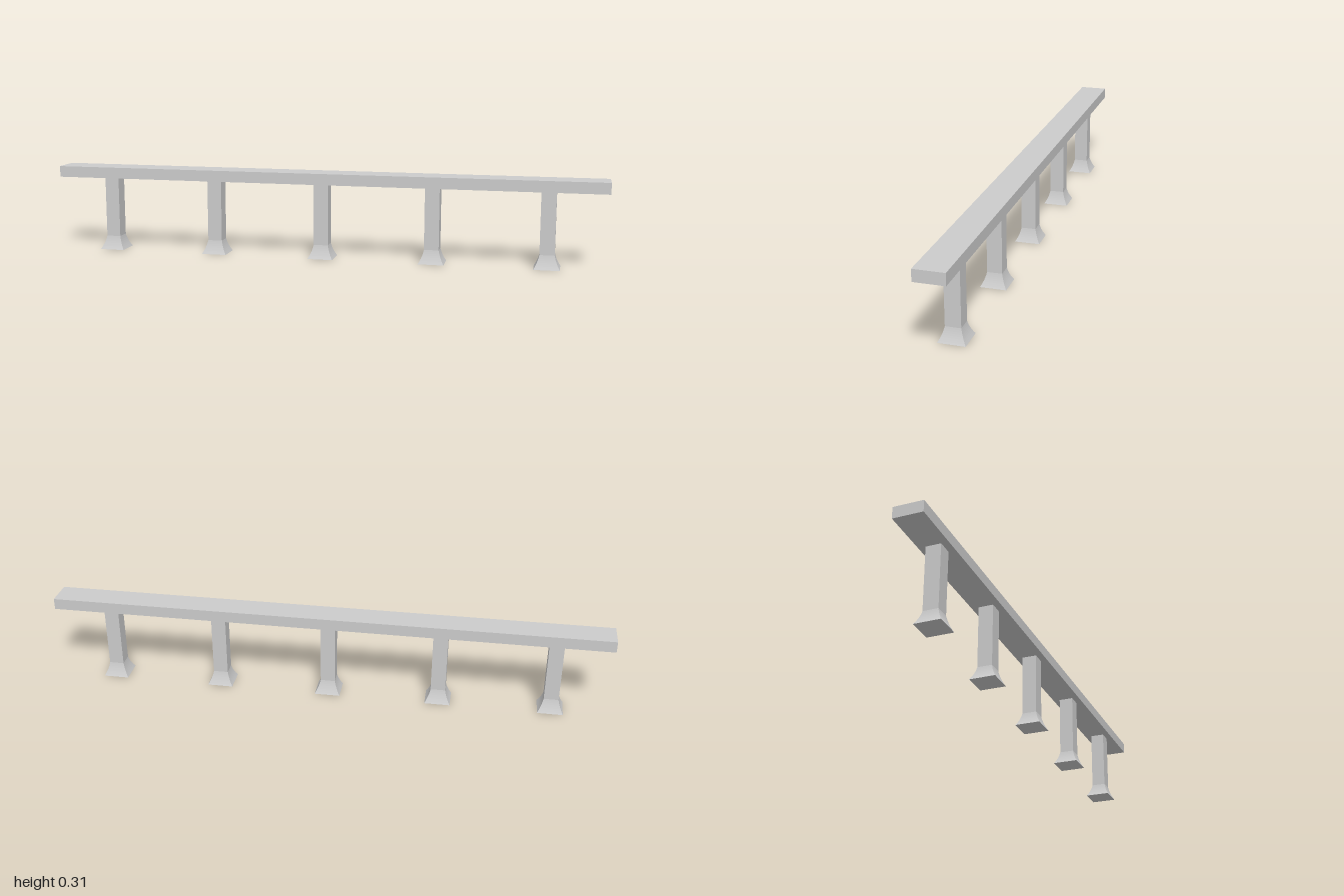
import * as THREE from 'three';

export function createModel() {
  const model = new THREE.Group();
  const material = new THREE.MeshStandardMaterial({ color: 0xcccccc, flatShading: true });

  // Long flat deck
  const deck = new THREE.Mesh(new THREE.BoxGeometry(2, 0.04, 0.102), material);
  deck.name = 'deck';
  deck.position.y = 0.291;
  model.add(deck);

  // Square foot with a concave flare, closed underneath
  const flare = new THREE.QuadraticBezierCurve(
    new THREE.Vector2(0.0455, 0),
    new THREE.Vector2(0.0315, 0.022),
    new THREE.Vector2(0.026, 0.049)
  );
  const profile = [new THREE.Vector2(0, 0), ...flare.getPoints(8)];
  profile.forEach((p) => { p.x *= Math.SQRT2; });
  const footGeometry = new THREE.LatheGeometry(profile, 4, Math.PI / 4);
  const shaftGeometry = new THREE.BoxGeometry(0.052, 0.222, 0.052);

  // Five evenly spaced piers
  for (let i = -2; i <= 2; i++) {
    const pier = new THREE.Group();
    pier.name = 'pier' + (i + 3);
    const shaft = new THREE.Mesh(shaftGeometry, material);
    shaft.name = 'shaft';
    shaft.position.y = 0.16;
    const foot = new THREE.Mesh(footGeometry, material);
    foot.name = 'foot';
    pier.add(shaft, foot);
    pier.position.x = i * 0.4 - 0.004;
    model.add(pier);
  }
  return model;
}
